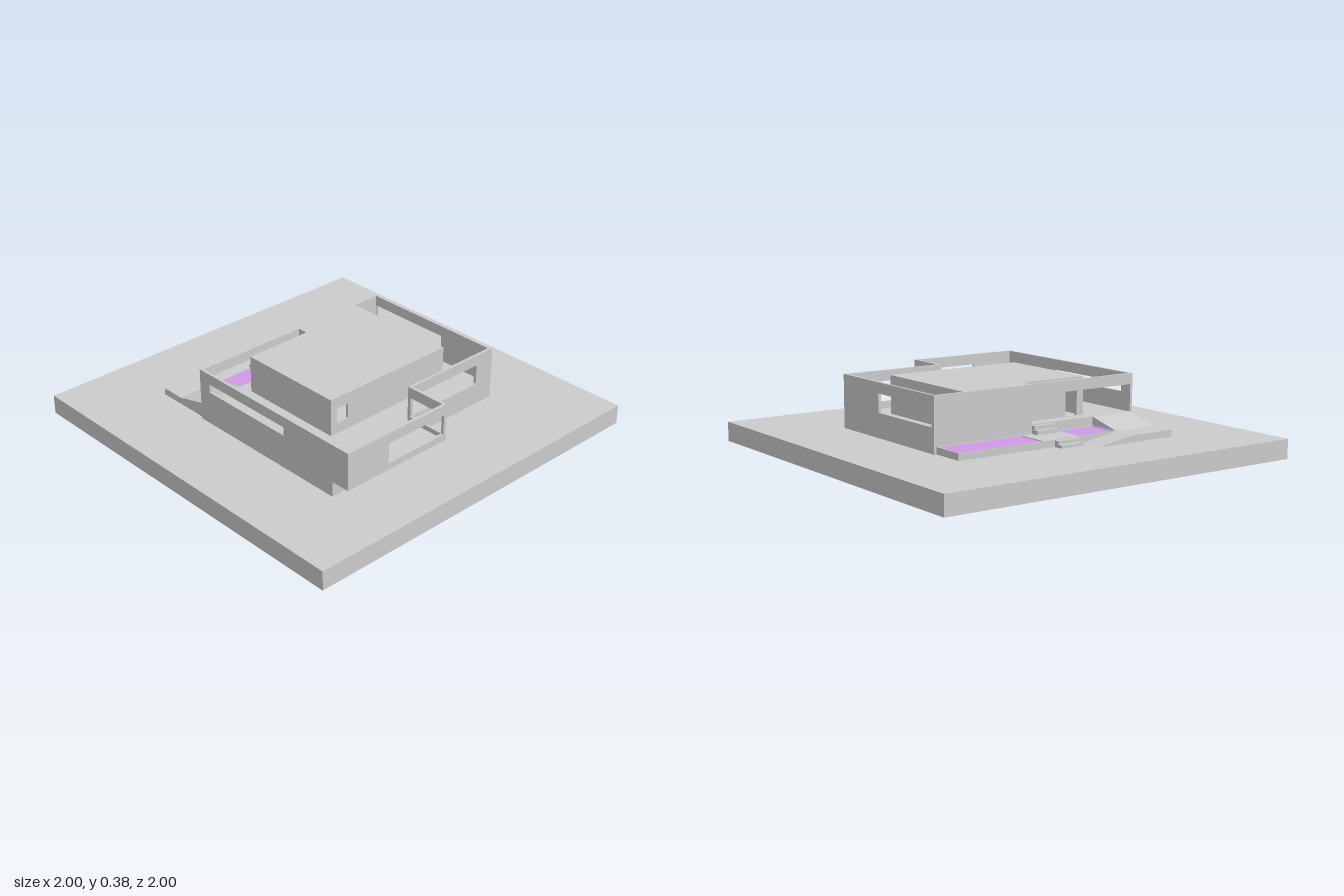
import * as THREE from 'three';

const T = 0.015;                       // wall thickness
const GROUND = 0.1, DECK = 0.135, FLOOR = 0.18, TOP = 0.375;

const grey = new THREE.MeshStandardMaterial({ color: 0xcccccc });
const violet = new THREE.MeshStandardMaterial({ color: 0xd098e8 });

export function createModel() {
  const model = new THREE.Group();

  const add = (parent, name, geometry, material = grey) => {
    const mesh = new THREE.Mesh(geometry, material);
    mesh.name = name;
    parent.add(mesh);
    return mesh;
  };
  const group = (name) => {
    const g = new THREE.Group();
    g.name = name;
    model.add(g);
    return g;
  };

  // Box given by its limits on each axis
  const box = (parent, name, [x0, x1], [y0, y1], [z0, z1], material) =>
    add(parent, name, new THREE.BoxGeometry(x1 - x0, y1 - y0, z1 - z0), material)
      .position.set((x0 + x1) / 2, (y0 + y1) / 2, (z0 + z1) / 2);

  const polygon = (points) => points.map(([u, v]) => new THREE.Vector2(u, v));
  const rect = (u0, u1, v0, v1) => polygon([[u0, v0], [u1, v0], [u1, v1], [u0, v1]]);
  const extrude = (outline, holes, depth) => {
    const shape = new THREE.Shape(outline);
    for (const h of holes) shape.holes.push(new THREE.Path(rect(...h).reverse()));
    return new THREE.ExtrudeGeometry(shape, { depth, bevelEnabled: false });
  };
  // Profile in x,y swept from z0 to z1
  const sweepZ = (parent, name, outline, holes, z0, z1) =>
    add(parent, name, extrude(outline, holes, z1 - z0).translate(0, 0, z0));
  // Profile in z,y swept from x0 to x1
  const sweepX = (parent, name, outline, holes, x0, x1) =>
    add(parent, name, extrude(outline, holes, x1 - x0).rotateY(-Math.PI / 2).translate(x1, 0, 0));

  // Plot
  box(model, 'groundSlab', [-1, 1], [0, GROUND], [-1, 1]);

  // Floors: main storey plinth, front bay plinth, overhanging bay floor
  const floors = group('floors');
  box(floors, 'mainFloor', [-0.59, 0.6], [GROUND, FLOOR], [-0.32, 0.5]);
  box(floors, 'bayPlinth', [-0.59, 0.04], [GROUND, FLOOR], [0.5, 0.62]);
  box(floors, 'bayFloor', [-0.59, 0.04], [FLOOR, FLOOR + 0.01], [0.485, 0.72]);

  // Outer walls with strip windows
  const outer = group('outerWalls');
  sweepZ(outer, 'backWall', rect(-0.59, 0.6, FLOOR, TOP),
    [[-0.575, 0.04, FLOOR + 0.001, 0.32]], -0.32, -0.32 + T);
  sweepZ(outer, 'frontWall', rect(0.04, 0.6, FLOOR, TOP),
    [[0.045, 0.49, 0.215, 0.32]], 0.5 - T, 0.5);
  sweepX(outer, 'leftWall', rect(-0.32, 0.5, FLOOR, TOP),
    [[-0.3, 0.17, 0.225, 0.32]], 0.6 - T, 0.6);
  sweepX(outer, 'rightWall', rect(-0.32, 0.72, FLOOR, TOP),
    [[-0.25, 0.29, 0.275, 0.32]], -0.59, -0.59 + T);
  sweepZ(outer, 'bayFrontWall', rect(-0.59, 0.04, FLOOR, TOP),
    [[-0.335, 0.025, 0.215, 0.32]], 0.72 - T, 0.72);
  sweepX(outer, 'baySideWall', rect(0.485, 0.72, FLOOR, TOP),
    [[0.503, 0.705, 0.215, 0.32]], 0.04 - T, 0.04);

  // Hollow inner room, set back from the rear entrance
  const room = group('innerRoom');
  sweepZ(room, 'roomFrontWall', rect(-0.33, 0.43, FLOOR, TOP),
    [[-0.29, -0.22, 0.235, 0.315]], 0.33 - T, 0.33);
  sweepZ(room, 'roomBackWall', rect(-0.33, 0.04, FLOOR, TOP),
    [[-0.29, -0.22, FLOOR + 0.001, 0.315]], -0.25, -0.25 + T);
  sweepX(room, 'roomRightWall', rect(-0.25, 0.33, FLOOR, TOP), [], -0.33, -0.33 + T);
  sweepX(room, 'roomLeftWall', rect(-0.305, 0.33, FLOOR, TOP), [], 0.43 - T, 0.43);
  sweepX(room, 'entranceSideWall', rect(-0.305, -0.25 + T, FLOOR, TOP), [], 0.04, 0.04 + T);
  box(room, 'roomRoof', [-0.33, 0.43], [TOP - T, TOP], [-0.25, 0.33]);
  box(room, 'roomRoofRear', [0.04, 0.43], [TOP - T, TOP], [-0.305, -0.25]);

  // Rear terrace with two basins
  const terrace = group('terrace');
  const basins = [[-0.325, -0.11], [0.105, 0.58]];
  const deck = extrude(rect(-0.335, 0.587, 0.32, 0.5),
    basins.map(([x0, x1]) => [x0, x1, 0.328, 0.495]), DECK - GROUND);
  add(terrace, 'terraceDeck', deck.rotateX(-Math.PI / 2).translate(0, GROUND, -1e-4).scale(1, 1, 1)
  );
  for (const span of basins)
    box(terrace, 'poolWater', span, [GROUND, DECK - 0.004], [-0.495, -0.328], violet);

  // Two short flights of two steps each
  const steps = group('steps');
  for (const [z, y, h, d] of [[-0.5, GROUND, DECK - GROUND, 0.0265], [-0.32, DECK, FLOOR - DECK, 0.0225]])
    for (let i = 1; i <= 2; i++)
      box(steps, 'step', [-0.09, 0.04], [y, y + h * (i === 1 ? 0.45 : 0.9)],
        [z - d * (3 - i), z - d * (2 - i)]);

  // L-shaped ramp: down from the house, flat landing, then down sideways
  const ramp = group('ramp');
  sweepX(ramp, 'upperRamp', polygon([[-0.32, GROUND], [-0.32, FLOOR], [-0.5, DECK],
    [-0.63, DECK], [-0.63, GROUND]]), [], -0.58, -0.335);
  sweepZ(ramp, 'lowerRamp', polygon([[-0.335, GROUND], [-0.12, GROUND], [-0.335, DECK]]), [], -0.63, -0.5);

  return model;
}
